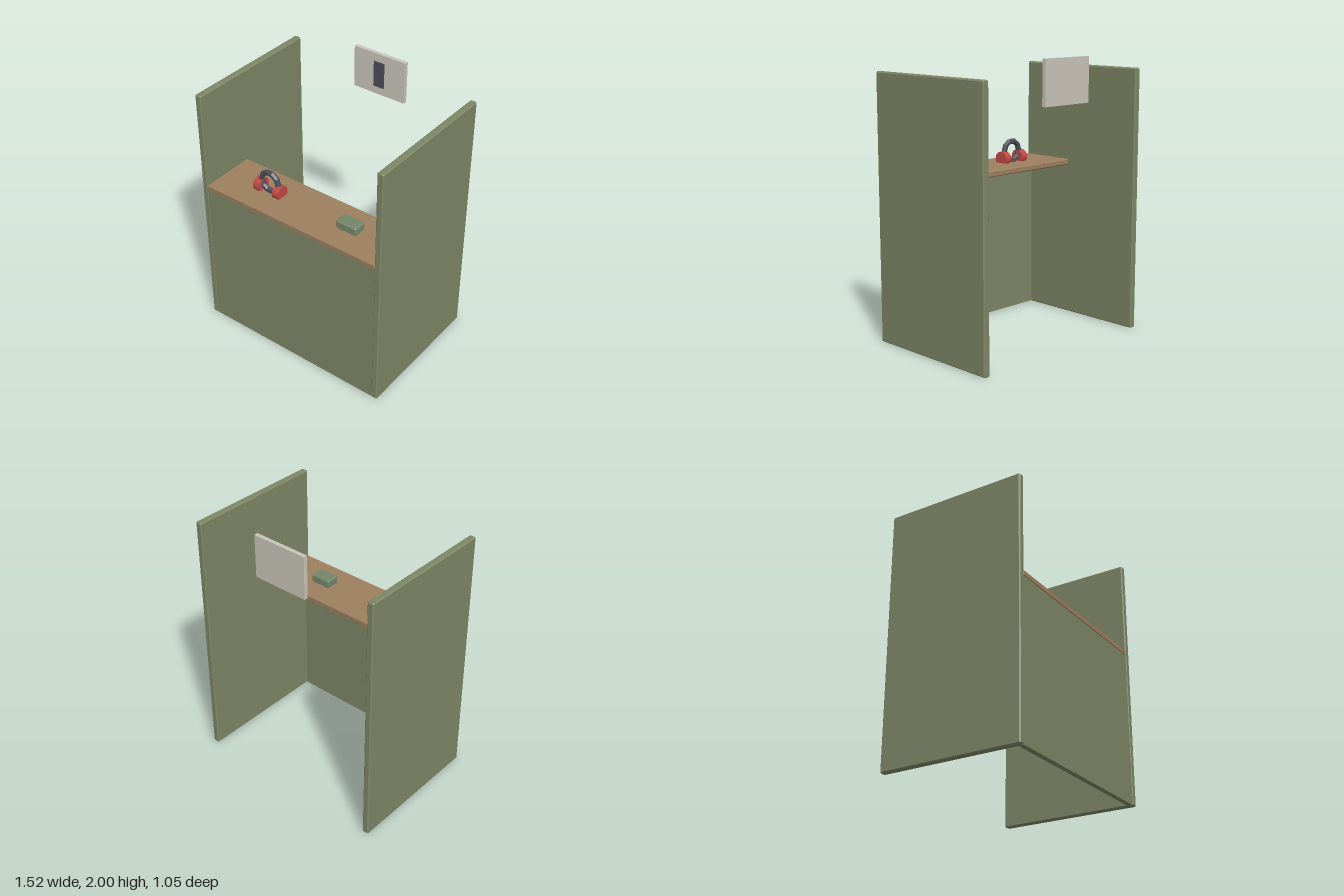
import * as THREE from 'three';
import { ConvexGeometry } from 'three/addons/geometries/ConvexGeometry.js';

const material = (name, color, flatShading = false) => {
  const m = new THREE.MeshStandardMaterial({ color, flatShading });
  m.name = name;
  return m;
};

// Box between two corners, with all edges chamfered by c
function chamferBox(min, max, c) {
  const points = [];
  const mid = min.map((v, i) => (v + max[i]) / 2);
  const half = min.map((v, i) => (max[i] - v) / 2);
  for (const sx of [-1, 1]) for (const sy of [-1, 1]) for (const sz of [-1, 1]) {
    const s = [sx, sy, sz];
    for (let full = 0; full < 3; full++) {
      const p = s.map((sign, i) => mid[i] + sign * (half[i] - (i === full ? 0 : c)));
      points.push(new THREE.Vector3(...p));
    }
  }
  return new ConvexGeometry(points);
}

// Plain box between two corners
function plainBox(min, max) {
  const g = new THREE.BoxGeometry(...min.map((v, i) => max[i] - v));
  return g.translate(...min.map((v, i) => (v + max[i]) / 2));
}

export function createModel() {
  const green = material('olive green', 0x7d8665);
  const wood = material('wood brown', 0x9c7f5e);
  const grey = material('warm grey', 0xc9c5b9);
  const dark = material('charcoal', 0x4b4c57, true);
  const red = material('red', 0xc24a43);
  const sage = material('sage green', 0x74866a);

  const model = new THREE.Group();
  model.name = 'booth';
  const add = (name, geometry, mat, parent = model) => {
    const mesh = new THREE.Mesh(geometry, mat);
    mesh.name = name;
    parent.add(mesh);
    return mesh;
  };

  // Side walls
  add('leftWall', chamferBox([0.71, 0, -0.525], [0.76, 1.895, 0.525], 0.008), green);
  add('rightWall', chamferBox([-0.76, 0, -0.525], [-0.71, 1.895, 0.525], 0.008), green);

  // Front panel and counter
  add('frontPanel', plainBox([-0.713, 0.003, 0.482], [0.713, 1.145, 0.521]), green);
  add('counter', chamferBox([-0.715, 1.14, 0.105], [0.715, 1.185, 0.525], 0.007), wood);

  // Hanging sign at the back with a dark slot
  add('sign', plainBox([-0.21, 1.69, -0.525], [0.21, 2, -0.496]), grey);
  add('signSlot', plainBox([-0.042, 1.75, -0.496], [0.042, 1.94, -0.488]), dark);

  // Headset: faceted ring between two ear cups sunk into the counter
  const headset = new THREE.Group();
  headset.name = 'headset';
  headset.position.set(-0.32, 1.185, 0.315);
  model.add(headset);
  const ring = add('headband', new THREE.TorusGeometry(0.074, 0.021, 6, 10), dark, headset);
  ring.position.y = 0.08;
  for (const side of [-1, 1]) {
    const cup = add(side > 0 ? 'leftCup' : 'rightCup',
      new THREE.CylinderGeometry(0.054, 0.054, 0.053, 16), red, headset);
    cup.rotation.z = Math.PI / 2;
    cup.position.set(side * 0.084, 0.03, 0);
  }

  // Small box on the counter
  add('counterBox', chamferBox([0.285, 1.182, 0.263], [0.448, 1.248, 0.367], 0.01), sage);

  return model;
}
